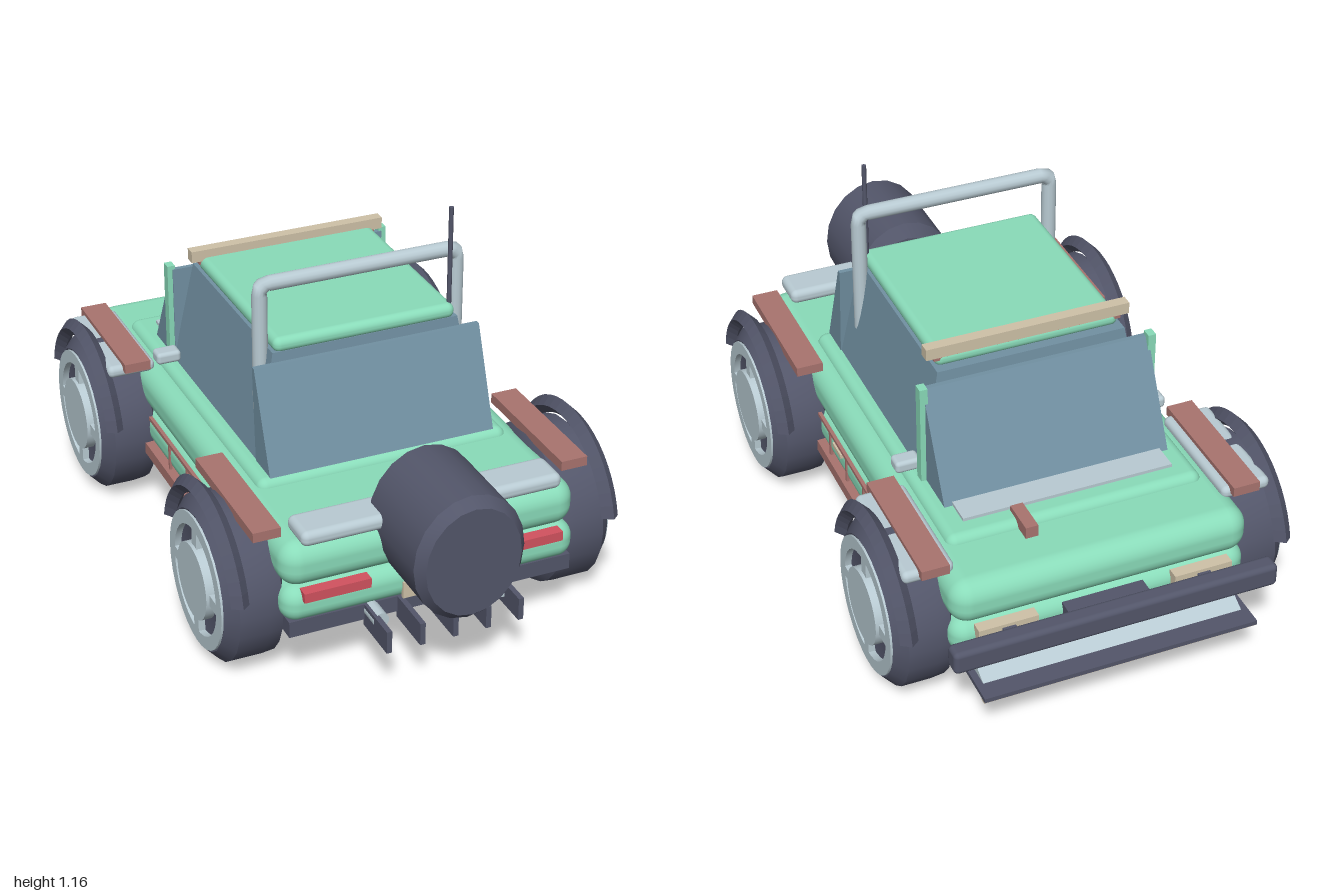
import * as THREE from 'three';
import { RoundedBoxGeometry } from 'three/addons/geometries/RoundedBoxGeometry.js';
import { toCreasedNormals } from 'three/addons/utils/BufferGeometryUtils.js';

const paint = (name, color) => {
  const m = new THREE.MeshStandardMaterial({ color });
  m.name = name;
  return m;
};

export function createModel() {
  const car = new THREE.Group();
  car.name = 'offRoadCar';
  const green = paint('mint green', 0x8adcba);
  const silver = paint('silver', 0xb9cbd3);
  const glass = paint('slate glass', 0x7291a3);
  const dark = paint('dark rubber', 0x53566a);
  const rust = paint('rust trim', 0xa9746f);
  const red = paint('lamp red', 0xd2525f);
  const cream = paint('cream', 0xcfc2a8);

  const add = (name, geo, mat, parent = car) => {
    const mesh = new THREE.Mesh(geo, mat);
    mesh.name = name;
    parent.add(mesh);
    return mesh;
  };
  // Boxes are given by their minimum and maximum on each axis
  const box = (name, mat, x0, x1, y0, y1, z0, z1, r = 0, parent = car) => {
    const s = [x1 - x0, y1 - y0, z1 - z0];
    const geo = r ? new RoundedBoxGeometry(...s, 4, r) : new THREE.BoxGeometry(...s);
    const mesh = add(name, geo, mat, parent);
    mesh.position.set((x0 + x1) / 2, (y0 + y1) / 2, (z0 + z1) / 2);
    return mesh;
  };
  const pair = (name, mat, x0, x1, ...rest) => {
    box(name + 'Left', mat, x0, x1, ...rest);
    box(name + 'Right', mat, -x1, -x0, ...rest);
  };
  const lathe = (pts, sides) => toCreasedNormals(
    new THREE.LatheGeometry(pts.map(p => new THREE.Vector2(...p)), sides), 0.5);
  // Side outline in (z, y), extruded across the width
  const across = (pts, width) => new THREE.ExtrudeGeometry(
    new THREE.Shape(pts.map(p => new THREE.Vector2(...p))), { depth: width, bevelEnabled: false })
    .translate(0, 0, -width / 2).rotateY(-Math.PI / 2);

  // Body tub, raised centre and underside
  box('upperBody', green, -0.455, 0.455, 0.33, 0.472, -0.87, 0.76, 0.06);
  box('lowerBody', green, -0.455, 0.455, 0.222, 0.338, -0.86, 0.765, 0.05);
  box('centreBody', green, -0.395, 0.395, 0.4, 0.495, -0.68, 0.435, 0.03);
  box('underbody', dark, -0.44, 0.44, 0.185, 0.235, -0.85, 0.755);

  // Cabin glass, narrowing to the roof
  const cabin = new THREE.BoxGeometry(0.71, 0.34, 0.69);
  const p = cabin.attributes.position;
  for (let i = 0; i < p.count; i++) {
    if (p.getY(i) > 0) { p.setX(i, p.getX(i) * 0.82); p.setZ(i, p.getZ(i) * 0.92); }
  }
  cabin.computeVertexNormals();
  add('cabinGlass', cabin, glass).position.set(0, 0.65, -0.028);
  add('windshield', across([[-0.365, 0.49], [-0.365, 0.8], [-0.38, 0.8], [-0.54, 0.49]], 0.7), glass);
  add('rearWindow', across([[0.418, 0.49], [0.305, 0.79], [0.29, 0.79], [0.31, 0.49]], 0.71), glass);
  pair('windshieldPillar', green, 0.342, 0.366, 0.49, 0.812, -0.4, -0.368);
  box('roof', green, -0.285, 0.285, 0.813, 0.86, -0.32, 0.293, 0.022);
  box('roofLightBar', cream, -0.315, 0.315, 0.85, 0.886, -0.322, -0.288);
  box('roofLightBase', rust, -0.29, 0.29, 0.838, 0.852, -0.318, -0.292);

  // Hood and rear deck details
  box('cowl', silver, -0.325, 0.325, 0.48, 0.505, -0.615, -0.53);
  box('hoodLatch', rust, 0.146, 0.184, 0.475, 0.512, -0.73, -0.62);
  box('rearDeckPlate', silver, -0.4, 0.4, 0.468, 0.515, 0.64, 0.762, 0.02);
  pair('mirror', silver, 0.35, 0.428, 0.51, 0.548, -0.365, -0.31, 0.012);

  // Roll bar and antenna
  const hoop = new THREE.CurvePath();
  const v = (x, y) => new THREE.Vector3(x, y, 0.237);
  const hoopPts = [v(-0.308, 0.62), v(-0.308, 1), v(-0.293, 1.015), v(0.293, 1.015), v(0.308, 1), v(0.308, 0.62)];
  for (let i = 0; i < 5; i++) hoop.add(new THREE.LineCurve3(hoopPts[i], hoopPts[i + 1]));
  add('rollBar', new THREE.TubeGeometry(hoop, 80, 0.023, 14), silver);
  add('antenna', new THREE.CylinderGeometry(0.007, 0.007, 0.54, 10), dark).position.set(0.275, 0.89, 0.265);

  // Wheels, arches and mudguard tops
  const tyre = lathe([[0, -0.1], [0.17, -0.1], [0.2, -0.097], [0.243, -0.07], [0.247, -0.03],
    [0.247, 0.06], [0.21, 0.095], [0.17, 0.08], [0, 0.08]], 24).rotateZ(-Math.PI / 2);
  const rim = lathe([[0.165, 0.07], [0.205, 0.07], [0.205, 0.1], [0.165, 0.1], [0.165, 0.07]], 32).rotateZ(-Math.PI / 2);
  const hub = new THREE.CylinderGeometry(0.115, 0.115, 0.04, 28).rotateZ(-Math.PI / 2);
  const arcStart = 0.24;
  const arch = new THREE.TorusGeometry(0.274, 0.027, 4, 20, Math.PI - 2 * arcStart)
    .rotateZ(arcStart).rotateY(Math.PI / 2).toNonIndexed();
  arch.computeVertexNormals();
  for (const side of [1, -1]) {
    for (const [place, z] of [['front', -0.574], ['rear', 0.472]]) {
      const wheel = new THREE.Group();
      wheel.name = place + 'Wheel' + (side > 0 ? 'Left' : 'Right');
      wheel.position.set(side * 0.51, 0.25, z);
      if (side < 0) wheel.rotation.y = Math.PI;
      car.add(wheel);
      add('tyre', tyre, dark, wheel);
      add('rim', rim, silver, wheel);
      add('hub', hub, silver, wheel).position.x = 0.09;
      box('spokeUpright', silver, 0.07, 0.1, -0.17, 0.17, -0.018, 0.018, 0, wheel);
      box('spokeLevel', silver, 0.07, 0.1, -0.018, 0.018, -0.17, 0.17, 0, wheel);
      add(place + 'WheelArch', arch, dark).position.set(side * 0.577, 0.25, z);
    }
  }
  pair('frontMudguardTop', rust, 0.435, 0.518, 0.478, 0.508, -0.79, -0.36);
  pair('rearMudguardTop', rust, 0.435, 0.518, 0.478, 0.508, 0.25, 0.69);
  pair('frontMudguard', silver, 0.412, 0.565, 0.455, 0.495, -0.77, -0.38, 0.018);

  // Side sills, trim lines and handles
  pair('sill', rust, 0.43, 0.472, 0.2, 0.238, -0.36, 0.26);
  pair('sideTrim', rust, 0.45, 0.461, 0.322, 0.334, -0.32, 0.24);
  for (const z of [-0.15, 0.0, 0.145]) pair('doorSeam', rust, 0.45, 0.459, 0.235, 0.325, z - 0.005, z + 0.005);
  pair('doorHandle', cream, 0.45, 0.463, 0.298, 0.312, 0.035, 0.105);

  // Spare wheel, slightly taller than wide
  const spare = add('spareWheel', lathe([[0, -0.175], [0.155, -0.175], [0.195, -0.145],
    [0.195, 0.145], [0.168, 0.175], [0, 0.175]], 20).rotateX(Math.PI / 2), dark);
  spare.scale.x = 0.86;
  spare.position.set(0, 0.466, 0.825);

  // Rear lamps, plate, pipes and hooks
  pair('tailLamp', red, 0.2, 0.402, 0.302, 0.332, 0.74, 0.776);
  box('rearPlate', cream, -0.1, 0.1, 0.235, 0.287, 0.76, 0.772);
  for (const x of [-0.19, 0.19]) {
    add('exhaustPipe', new THREE.CylinderGeometry(0.024, 0.024, 0.1, 14).rotateX(Math.PI / 2), silver)
      .position.set(x, 0.215, 0.77);
  }
  for (const x of [-0.204, -0.102, 0, 0.102, 0.204]) {
    box('rearHook', dark, x - 0.008, x + 0.008, 0.165, 0.235, 0.75, 0.905);
  }

  // Nose: grille, lamps, bumper and skid plates
  box('noseStrip', silver, -0.42, 0.42, 0.24, 0.275, -0.895, -0.84, 0.012);
  box('grille', dark, -0.125, 0.125, 0.255, 0.32, -0.9, -0.85);
  pair('headlamp', cream, 0.21, 0.39, 0.285, 0.33, -0.886, -0.85);
  box('frontBumper', dark, -0.495, 0.495, 0.272, 0.345, -0.97, -0.912, 0.015);
  pair('bumperBracket', dark, 0.28, 0.32, 0.285, 0.32, -0.93, -0.84);
  box('skidLip', dark, -0.42, 0.42, 0.174, 0.188, -1, -0.82);
  box('skidLipEdge', cream, -0.42, 0.42, 0.168, 0.174, -0.995, -0.975);
  add('skidRamp', across([[-0.94, 0.188], [-0.86, 0.188], [-0.87, 0.222]], 0.8), silver);
  box('skidPlate', silver, -0.318, 0.318, 0.165, 0.186, -0.9, -0.6);

  return car;
}
